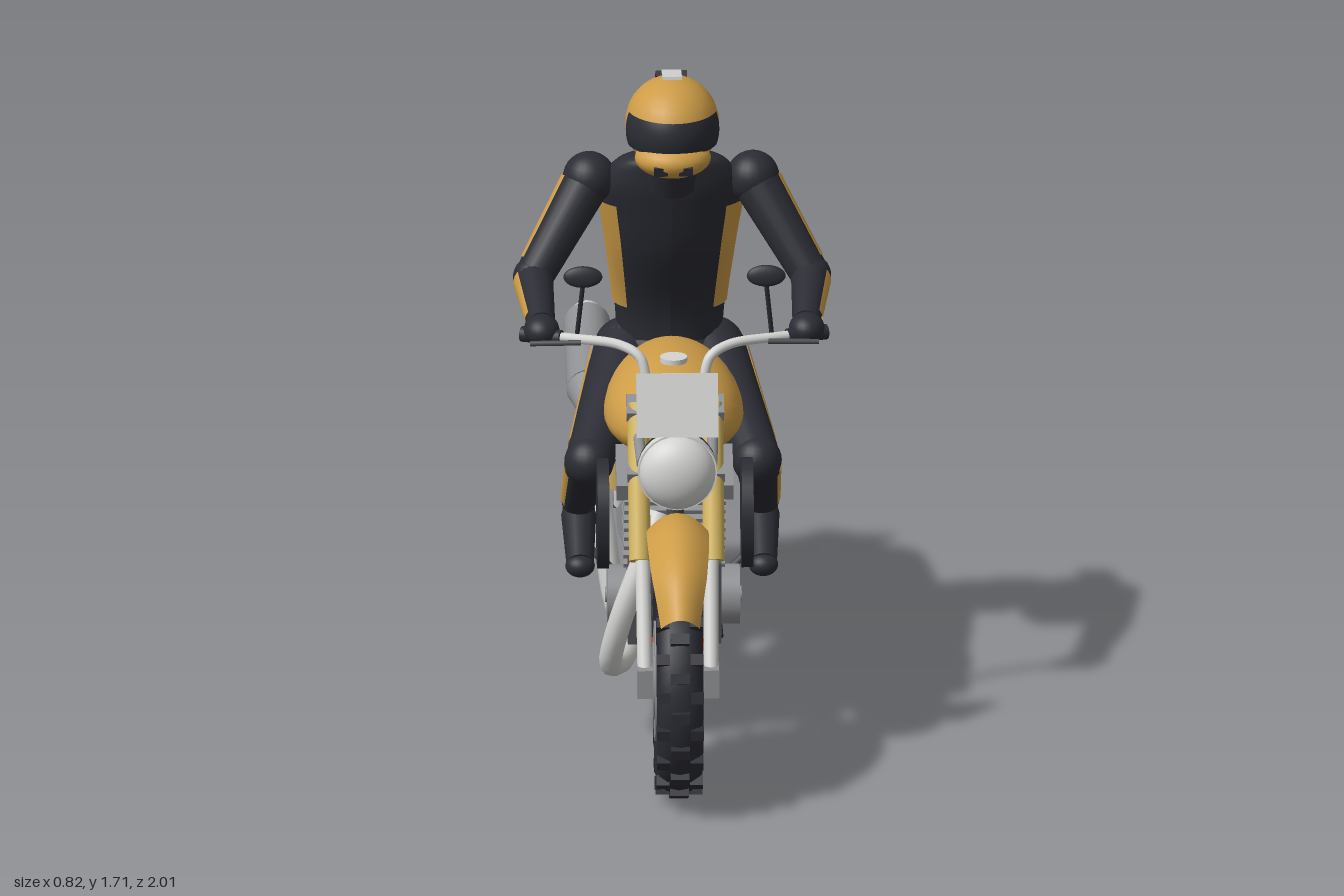
import * as THREE from 'three';

const V = (x, y, z) => new THREE.Vector3(x, y, z);
const paint = (name, color, side = THREE.FrontSide) => {
  const m = new THREE.MeshStandardMaterial({ color, side });
  m.name = name;
  return m;
};

export function createModel() {
  const gold = paint('gold paint', 0xcd9c47, THREE.DoubleSide);
  const forkGold = paint('pale gold', 0xd0b25e);
  const black = paint('black', 0x2b2c34, THREE.DoubleSide);
  const light = paint('light metal', 0xd4d4d2, THREE.DoubleSide);
  const grey = paint('grey metal', 0x8f9093);
  const dark = paint('dark metal', 0x4d4e52);
  const red = paint('red', 0xc9402f);

  const root = new THREE.Group();
  const bike = new THREE.Group(); bike.name = 'motorcycle';
  const rider = new THREE.Group(); rider.name = 'rider';
  root.add(bike, rider);

  const add = (parent, name, geo, mat, p = [0, 0, 0], r = [0, 0, 0], s = [1, 1, 1]) => {
    const m = new THREE.Mesh(geo, mat);
    m.name = name;
    m.position.set(...p); m.rotation.set(...r); m.scale.set(...s);
    parent.add(m);
    return m;
  };
  const box = (parent, name, mat, size, p, r) => add(parent, name, new THREE.BoxGeometry(...size), mat, p, r);
  const ball = (parent, name, mat, p, s, r) => add(parent, name, new THREE.SphereGeometry(1, 24, 16), mat, p, r, s);
  const disc = (parent, name, mat, r, w, p) => add(parent, name, new THREE.CylinderGeometry(r, r, w, 32), mat, p, [0, 0, Math.PI / 2]);
  const tube = (parent, name, mat, r, pts) =>
    add(parent, name, new THREE.TubeGeometry(new THREE.CatmullRomCurve3(pts.map(p => V(...p))), 40, r, 10), mat);
  // tapered rod from a to b; an optional stripe lies along its outer side
  const rod = (parent, name, mat, a, b, ra, rb = ra, stripe = null) => {
    const A = V(...a), B = V(...b), len = A.distanceTo(B);
    const y = B.clone().sub(A).normalize();
    const x = V(a[0] + b[0] < 0 ? -1 : 1, 0, 0);
    x.addScaledVector(y, -x.dot(y)).normalize();
    const g = new THREE.Group();
    g.name = name;
    g.position.copy(A).add(B).multiplyScalar(0.5);
    g.quaternion.setFromRotationMatrix(new THREE.Matrix4().makeBasis(x, y, x.clone().cross(y)));
    parent.add(g);
    add(g, name + 'Body', new THREE.CylinderGeometry(rb, ra, len, 20), mat);
    if (stripe) add(g, name + 'Stripe', new THREE.CylinderGeometry(rb + 0.004, ra + 0.004, len * 0.8, 10, 1, true,
      Math.PI / 2 - stripe / 2, stripe), gold);
    return g;
  };

  // wheels: tyre, knobs, rim, spokes and hub
  const wheel = (name, z, R, w, rim) => {
    const g = new THREE.Group();
    g.name = name; g.position.set(0, R + 0.012, z);
    bike.add(g);
    const prof = [[rim, -0.6], [rim + 0.02, -0.88], [R - 0.05, -1], [R - 0.022, -0.88], [R - 0.006, -0.5], [R, 0],
      [R - 0.006, 0.5], [R - 0.022, 0.88], [R - 0.05, 1], [rim + 0.02, 0.88], [rim, 0.6]];
    add(g, 'tyre', new THREE.LatheGeometry(prof.map(([r, x]) => new THREE.Vector2(r, x * w)), 48), black, [0, 0, 0], [0, 0, Math.PI / 2]);
    for (let i = 0; i < 36; i++) {
      const a = i / 36 * Math.PI * 2, odd = i % 2;
      for (const x of odd ? [0] : [-0.72 * w, 0.72 * w]) {
        const r = odd ? R : R - 0.012;
        box(g, 'tread', black, [w * (odd ? 0.8 : 0.56), 0.028, 0.028], [x, Math.cos(a) * r, Math.sin(a) * r], [a, 0, 0]);
      }
    }
    const q = w * 0.72;
    add(g, 'rim', new THREE.LatheGeometry([[rim - 0.025, -q], [rim + 0.004, -q], [rim + 0.004, q], [rim - 0.025, q], [rim - 0.025, -q]]
      .map(p => new THREE.Vector2(...p)), 48), light, [0, 0, 0], [0, 0, Math.PI / 2]);
    for (let i = 0; i < 6; i++) {
      const a = i / 6 * Math.PI * 2;
      box(g, 'spoke', light, [0.035, rim - 0.03, 0.025], [0, Math.cos(a) * rim / 2, Math.sin(a) * rim / 2], [a, 0, 0]);
    }
    disc(g, 'hub', light, 0.045, w * 1.6, [0, 0, 0]);
    return g;
  };
  const front = wheel('frontWheel', 0.70, 0.29, 0.06, 0.19);
  const rear = wheel('rearWheel', -0.69, 0.305, 0.092, 0.185);
  disc(rear, 'sprocket', light, 0.1, 0.012, [0.075, 0, 0]);
  disc(rear, 'rearBrakeDisc', grey, 0.11, 0.01, [-0.07, 0, 0]);

  // fenders: an arched strip swept along a path of [y, z] points
  const fender = (name, mat, path, width, drop) => {
    const curve = new THREE.CatmullRomCurve3(path.map(([y, z]) => V(0, y, z)));
    const geo = new THREE.PlaneGeometry(2, 1, 10, 28), p = geo.attributes.position;
    for (let i = 0; i < p.count; i++) {
      const u = p.getX(i), t = p.getY(i) + 0.5, c = curve.getPoint(t), d = curve.getTangent(t), f = drop * u * u;
      p.setXYZ(i, u * width(t), c.y + d.z * f, c.z - d.y * f);
    }
    geo.computeVertexNormals();
    return add(bike, name, geo, mat);
  };
  fender('frontFender', gold, [[0.57, 1.0], [0.67, 0.89], [0.73, 0.71], [0.70, 0.54], [0.60, 0.42]], t => 0.05 + 0.03 * Math.sin(Math.PI * Math.min(1, t * 0.9)), 0.045);
  fender('rearFender', gold, [[0.71, -0.41], [0.79, -0.54], [0.825, -0.70], [0.78, -0.86], [0.65, -0.99]], t => 0.1 - 0.05 * t * t, 0.045);
  fender('wheelGuard', black, [[0.52, -0.39], [0.62, -0.50], [0.665, -0.66], [0.655, -0.77], [0.60, -0.88]], () => 0.09, 0.04);

  // steering: fork, clamps, bars, lights and instruments
  for (const s of [-1, 1]) {
    rod(bike, 'forkUpper', forkGold, [s * 0.095, 0.94, 0.37], [s * 0.095, 0.58, 0.565], 0.028);
    rod(bike, 'forkLower', light, [s * 0.088, 0.62, 0.545], [s * 0.085, 0.31, 0.70], 0.019);
    disc(front, 'brakeDisc', grey, 0.155, 0.01, [s * 0.056, 0, 0]);
    disc(front, 'discCarrier', grey, 0.1, 0.018, [s * 0.056, 0, 0]);
    box(front, 'axleClamp', grey, [0.04, 0.075, 0.065], [s * 0.085, 0, 0]);
    box(front, 'brakeCaliper', red, [0.035, 0.095, 0.065], [s * 0.065, 0.01, -0.15], [-0.15, 0, 0]);
    rod(bike, 'headlightBracket', grey, [s * 0.095, 0.87, 0.42], [s * 0.09, 0.85, 0.58], 0.014);
    tube(bike, 'handlebar', light, 0.013, [[0, 0.96, 0.37], [s * 0.06, 0.97, 0.37], [s * 0.09, 1.06, 0.355],
      [s * 0.14, 1.085, 0.33], [s * 0.26, 1.09, 0.29], [s * 0.38, 1.085, 0.24]]);
    rod(bike, 'grip', black, [s * 0.29, 1.088, 0.28], [s * 0.39, 1.084, 0.235], 0.02);
    rod(bike, 'lever', dark, [s * 0.24, 1.085, 0.31], [s * 0.37, 1.08, 0.30], 0.007);
    rod(bike, 'mirrorStem', black, [s * 0.25, 1.09, 0.275], [s * 0.235, 1.24, 0.30], 0.006);
    ball(bike, 'mirror', black, [s * 0.235, 1.26, 0.30], [0.05, 0.028, 0.012], [-0.2, 0, 0]);
  }
  for (const [y, z] of [[0.93, 0.375], [0.79, 0.45]]) box(bike, 'forkClamp', grey, [0.25, 0.03, 0.07], [0, y, z], [0.45, 0, 0]);
  const half = new THREE.SphereGeometry(1, 28, 12, 0, Math.PI * 2, 0, Math.PI / 2);
  add(bike, 'headlightShell', half, black, [0, 0.845, 0.61], [-Math.PI / 2, 0, 0], [0.102, 0.11, 0.102]);
  add(bike, 'headlightLens', half, light, [0, 0.845, 0.635], [Math.PI / 2, 0, 0], [0.098, 0.065, 0.098]);
  add(bike, 'headlightRing', new THREE.CylinderGeometry(0.102, 0.102, 0.028, 28), light, [0, 0.845, 0.624], [Math.PI / 2, 0, 0]);
  box(bike, 'frontPlate', light, [0.21, 0.165, 0.01], [0, 1.02, 0.615], [-0.3, 0, 0]);
  box(bike, 'gauge', black, [0.16, 0.06, 0.05], [0, 1.0, 0.43], [-0.5, 0, 0]);

  // tank, seat and tail
  const tank = new THREE.SphereGeometry(1, 32, 24), tp = tank.attributes.position;
  for (let i = 0; i < tp.count; i++) {
    const x = tp.getX(i), y = tp.getY(i), z = tp.getZ(i);
    tp.setXYZ(i, x * 0.178 * (1 + 0.12 * z), y * (y > 0 ? 0.145 : 0.1), z * (z > 0 ? 0.27 : 0.37));
  }
  tank.computeVertexNormals();
  add(bike, 'fuelTank', tank, gold, [0, 0.855, 0.16]);
  add(bike, 'fuelCap', new THREE.CylinderGeometry(0.035, 0.035, 0.015, 20), light, [0, 1.0, 0.2]);
  const plan = new THREE.Shape();
  plan.moveTo(0.07, -0.05);
  plan.splineThru([[0.115, 0.2], [0.125, 0.36], [0.1, 0.55], [0.07, 0.70], [0, 0.735], [-0.07, 0.70], [-0.1, 0.55],
    [-0.125, 0.36], [-0.115, 0.2], [-0.07, -0.05]].map(p => new THREE.Vector2(...p)));
  add(bike, 'seat', new THREE.ExtrudeGeometry(plan, { depth: 0.025, bevelSize: 0.015, bevelThickness: 0.016, bevelSegments: 3, curveSegments: 30 }),
    black, [0, 0.83, 0], [-Math.PI / 2, 0, 0]);
  box(bike, 'tailLight', red, [0.09, 0.03, 0.028], [0, 0.82, -0.84]);
  box(bike, 'rearPlate', light, [0.2, 0.125, 0.008], [0, 0.52, -0.948], [-0.28, 0, 0]);
  for (const s of [-1, 1]) rod(bike, 'plateHolder', black, [s * 0.05, 0.73, -0.83], [s * 0.05, 0.56, -0.945], 0.009);

  // engine, frame and suspension
  box(bike, 'crankcase', dark, [0.24, 0.215, 0.41], [0, 0.372, 0.105]);
  for (let i = 0; i < 8; i++) box(bike, 'coolingFin', grey, [0.26, 0.012, 0.2], [0, 0.5 + i * 0.029, 0.17 + i * 0.014], [0.4, 0, 0]);
  box(bike, 'cylinder', dark, [0.2, 0.26, 0.15], [0, 0.6, 0.22], [0.4, 0, 0]);
  box(bike, 'cylinderHead', grey, [0.3, 0.05, 0.16], [0, 0.725, 0.29], [0.4, 0, 0]);
  tube(bike, 'backbone', dark, 0.03, [[0, 0.88, 0.4], [0, 0.79, 0.2], [0, 0.76, -0.1], [0, 0.5, -0.2], [0, 0.35, -0.15]]);
  rod(bike, 'steeringHead', dark, [0, 0.95, 0.36], [0, 0.76, 0.46], 0.035);
  rod(bike, 'downTube', dark, [0, 0.8, 0.4], [0, 0.35, 0.33], 0.022);
  for (const s of [-1, 1]) {
    disc(bike, 'engineCover', grey, 0.077, 0.06, [s * 0.14, 0.35, 0.165]);
    disc(bike, 'coverCap', grey, 0.02, 0.07, [s * 0.14, 0.35, 0.165]);
    add(bike, 'sideShield', new THREE.CylinderGeometry(0.125, 0.125, 0.03, 32), black, [s * 0.185, 0.63, 0.335], [0, 0, Math.PI / 2], [1.15, 1, 1]);
    rod(bike, 'subframe', dark, [s * 0.1, 0.65, -0.1], [s * 0.1, 0.81, -0.53], 0.014);
    rod(bike, 'shock', forkGold, [s * 0.125, 0.68, -0.22], [s * 0.125, 0.5, -0.26], 0.036);
    rod(bike, 'shockRod', light, [s * 0.125, 0.52, -0.255], [s * 0.125, 0.44, -0.275], 0.018);
    const arm = rod(bike, 'swingArm', grey, [s * 0.115, 0.42, -0.2], [s * 0.115, 0.317, -0.7], 0.055, 0.035);
    arm.scale.x = 0.4;
    disc(bike, 'axleNut', grey, 0.035, 0.035, [s * 0.118, 0.317, -0.7]);
    rod(bike, 'footPeg', dark, [s * 0.1, 0.36, -0.1], [s * 0.27, 0.36, -0.1], 0.014);
  }
  rod(bike, 'chainUpper', black, [0.09, 0.45, -0.22], [0.09, 0.41, -0.69], 0.01);
  rod(bike, 'chainLower', black, [0.09, 0.33, -0.2], [0.09, 0.22, -0.68], 0.01);
  rod(bike, 'sideStand', black, [0.11, 0.3, -0.02], [0.12, 0.21, 0.1], 0.01);

  // exhaust
  tube(bike, 'exhaustPipe', light, 0.03, [[-0.04, 0.63, 0.34], [-0.08, 0.53, 0.39], [-0.14, 0.36, 0.39], [-0.165, 0.22, 0.32],
    [-0.13, 0.18, 0.18], [-0.11, 0.17, -0.1], [-0.14, 0.21, -0.15], [-0.17, 0.4, -0.2], [-0.2, 0.56, -0.28], [-0.2, 0.67, -0.37]]);
  rod(bike, 'silencerCone', grey, [-0.2, 0.665, -0.36], [-0.2, 0.69, -0.45], 0.032, 0.06);
  rod(bike, 'silencer', grey, [-0.2, 0.69, -0.45], [-0.2, 0.75, -0.8], 0.06);
  rod(bike, 'silencerTip', light, [-0.2, 0.75, -0.8], [-0.2, 0.758, -0.845], 0.055, 0.04);
  rod(bike, 'silencerOutlet', black, [-0.2, 0.758, -0.845], [-0.2, 0.759, -0.85], 0.028);

  // torso: ellipses stacked along a leaning centre line
  const centre = new THREE.CatmullRomCurve3([[0.81, -0.29], [0.98, -0.275], [1.2, -0.185], [1.36, -0.125], [1.45, -0.075], [1.48, -0.05]].map(([y, z]) => V(0, y, z)));
  const radii = new THREE.CatmullRomCurve3([[0.13, 0.11], [0.14, 0.105], [0.165, 0.125], [0.185, 0.115], [0.135, 0.08], [0.05, 0.05]].map(([x, z]) => V(x, 0, z)));
  const torso = (name, mat, t0, t1, a0, aLen, grow) => {
    const geo = new THREE.CylinderGeometry(1, 1, 1, 28, 24, true, a0, aLen), p = geo.attributes.position;
    for (let i = 0; i < p.count; i++) {
      const t = t0 + (t1 - t0) * (p.getY(i) + 0.5), c = centre.getPoint(t), r = radii.getPoint(t);
      p.setXYZ(i, p.getX(i) * (r.x + grow), c.y, c.z + p.getZ(i) * (r.z + grow));
    }
    geo.computeVertexNormals();
    add(rider, name, geo, mat);
  };
  torso('torso', black, 0, 1, 0, Math.PI * 2, 0);
  torso('sidePanel', gold, 0.22, 0.55, 0.85, 1.45, 0.005);
  torso('sidePanel', gold, 0.22, 0.55, Math.PI * 2 - 2.3, 1.45, 0.005);
  ball(rider, 'hips', black, [0, 0.88, -0.28], [0.14, 0.07, 0.12]);
  rod(rider, 'neck', black, [0, 1.4, -0.05], [0, 1.52, 0.01], 0.07, 0.065);

  // arms and legs
  for (const s of [-1, 1]) {
    const shoulder = [s * 0.21, 1.39, -0.1], elbow = [s * 0.355, 1.16, 0.01], wrist = [s * 0.34, 1.105, 0.22];
    ball(rider, 'shoulder', black, shoulder, [0.068, 0.068, 0.068]);
    rod(rider, 'upperArm', black, shoulder, elbow, 0.062, 0.05, 1.1);
    ball(rider, 'elbow', black, elbow, [0.053, 0.053, 0.053]);
    rod(rider, 'forearm', black, elbow, wrist, 0.05, 0.036, 1.3);
    ball(rider, 'glove', black, [s * 0.34, 1.1, 0.25], [0.046, 0.04, 0.052]);
    const hip = [s * 0.11, 0.86, -0.28], knee = [s * 0.215, 0.7, 0.13], ankle = [s * 0.235, 0.49, -0.17];
    ball(rider, 'hip', black, hip, [0.085, 0.085, 0.085]);
    rod(rider, 'thigh', black, hip, knee, 0.085, 0.062, 1.0);
    ball(rider, 'knee', black, knee, [0.064, 0.064, 0.064]);
    rod(rider, 'shin', black, knee, ankle, 0.058, 0.045, 1.2);
    ball(rider, 'heel', black, [s * 0.235, 0.455, -0.185], [0.042, 0.048, 0.048]);
    rod(rider, 'boot', black, [s * 0.235, 0.445, -0.18], [s * 0.235, 0.365, -0.03], 0.045, 0.035);
    ball(rider, 'toe', black, [s * 0.235, 0.362, -0.025], [0.038, 0.03, 0.035]);
  }

  // helmet with visor, vents, crest stripe and spoiler
  const head = new THREE.Group();
  head.name = 'helmet'; head.position.set(0, 1.58, 0.02);
  rider.add(head);
  const size = [0.121, 0.121, 0.147];
  ball(head, 'helmetShell', gold, [0, 0, 0], size);
  ball(head, 'chinBar', gold, [0, -0.065, 0.085], [0.098, 0.05, 0.085]);
  const patch = (name, mat, p0, pl, t0, tl, k) =>
    add(head, name, new THREE.SphereGeometry(1, 24, 10, p0, pl, t0, tl), mat, [0, 0, 0.002], [0, 0, 0], size.map(v => v * k));
  patch('visor', black, Math.PI / 2 - 1.25, 2.5, 1.2, 0.72, 1.045);
  box(head, 'crestStripe', light, [0.05, 0.008, 0.1], [0, 0.119, -0.03], [-0.15, 0, 0]);
  box(head, 'spoiler', black, [0.08, 0.015, 0.11], [0, 0.085, -0.12], [-0.45, 0, 0]);
  for (const s of [-1, 1]) box(head, 'chinVent', black, [0.035, 0.024, 0.012], [s * 0.032, -0.078, 0.158], [0.25, 0, 0]);
  return root;
}
